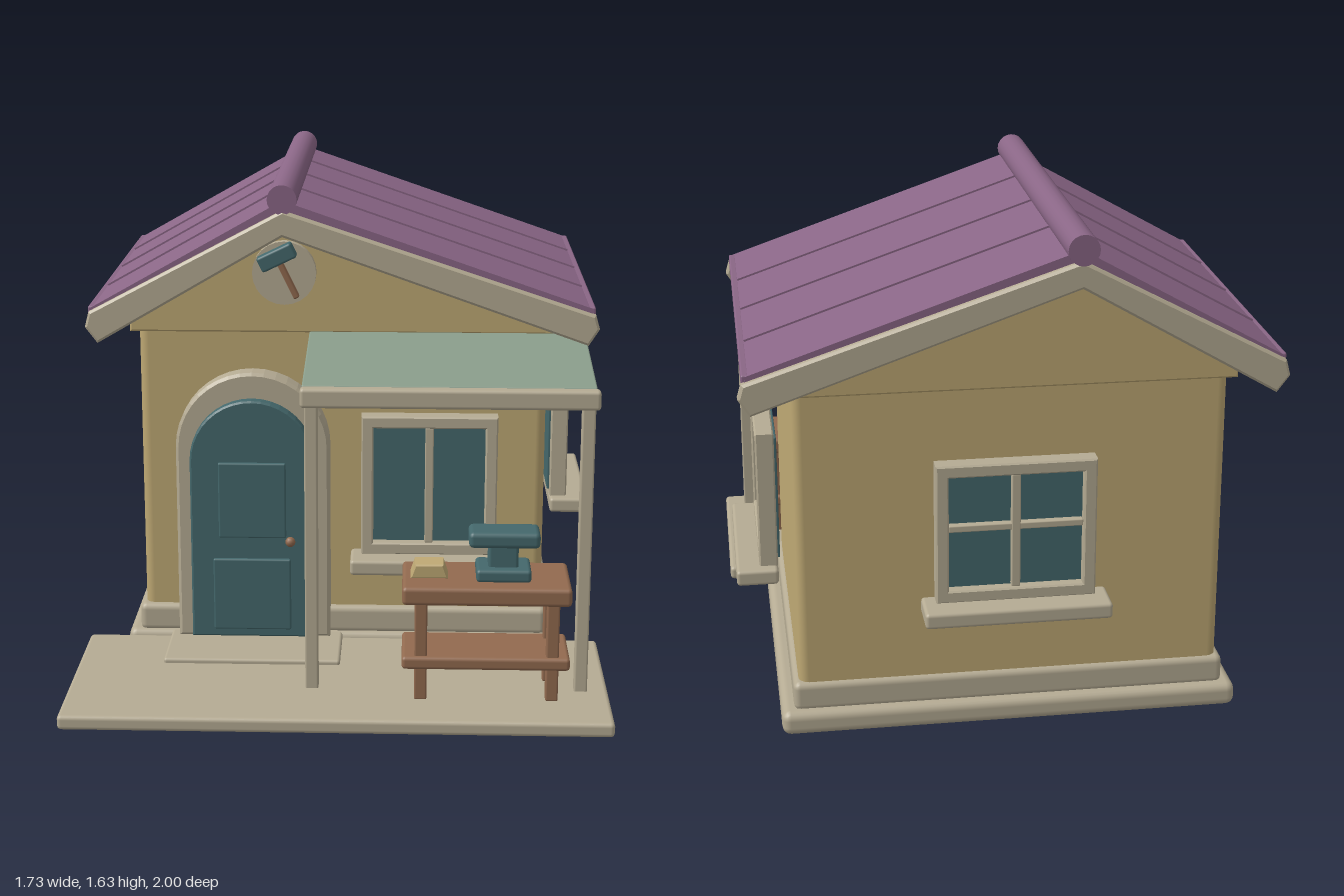
import * as THREE from 'three';
import { RoundedBoxGeometry } from 'three/addons/geometries/RoundedBoxGeometry.js';

const paint = (name, color) => Object.assign(new THREE.MeshStandardMaterial({ color }), { name });
const wall = paint('ochre plaster', 0xbfa974);
const trim = paint('pale stone', 0xb5ab93);
const purple = paint('purple roof', 0x8a6686);
const teal = paint('dark teal', 0x44686c);
const brown = paint('brown wood', 0x926a4f);
const green = paint('sage canopy', 0x8a9d8b);

function add(parent, name, geometry, material, x = 0, y = 0, z = 0) {
  const mesh = new THREE.Mesh(geometry, material);
  mesh.name = name;
  mesh.position.set(x, y, z);
  parent.add(mesh);
  return mesh;
}

// Soft-edged box given by its extents on each axis
function block(parent, name, material, [x0, x1], [y0, y1], [z0, z1], r = 0.008) {
  const w = x1 - x0, h = y1 - y0, d = z1 - z0;
  const geometry = new RoundedBoxGeometry(w, h, d, 2, Math.min(r, w / 2.1, h / 2.1, d / 2.1));
  return add(parent, name, geometry, material, (x0 + x1) / 2, (y0 + y1) / 2, (z0 + z1) / 2);
}

// Outline extruded between z0 and z1, with a small inward bevel
function slab(parent, name, material, shape, z0, z1, bevel = 0) {
  const geometry = new THREE.ExtrudeGeometry(shape, {
    depth: z1 - z0 - 2 * bevel, bevelEnabled: bevel > 0, bevelSize: bevel, bevelThickness: bevel,
    bevelOffset: -bevel, bevelSegments: 1, curveSegments: 10,
  });
  return add(parent, name, geometry, material, 0, 0, z0 + bevel);
}

const polygon = (points) => new THREE.Shape(points.map(([x, y]) => new THREE.Vector2(x, y)));

function group(parent, name) {
  const g = new THREE.Group();
  g.name = name;
  parent.add(g);
  return g;
}

// Round-topped outline centred on x
function arch(x, halfWidth, bottom, spring) {
  const s = new THREE.Shape();
  s.moveTo(x - halfWidth, bottom);
  s.lineTo(x + halfWidth, bottom);
  s.lineTo(x + halfWidth, spring);
  s.absarc(x, spring, halfWidth, 0, Math.PI, false);
  s.closePath();
  return s;
}

// Window facing +z, with its origin on the wall plane
function makeWindow(parent, name, width, y0, y1, rows, sillWidth) {
  const g = group(parent, name);
  const w = width / 2, b = 0.04, midY = (y0 + y1) / 2 + 0.015;
  const frame = polygon([[-w, y0], [w, y0], [w, y1], [-w, y1]]);
  frame.holes.push(polygon([[-w + b, y0 + b], [-w + b, y1 - b], [w - b, y1 - b], [w - b, y0 + b]]));
  slab(g, 'windowFrame', trim, frame, 0.045, 0.105, 0.005);
  block(g, 'glass', teal, [-w + 0.02, w - 0.02], [y0 + 0.02, y1 - 0.02], [0.037, 0.07], 0.003);
  block(g, 'uprightBar', trim, [-0.014, 0.014], [y0 + b, y1 - b], [0.06, 0.095], 0.004);
  if (rows > 1) block(g, 'crossBar', trim, [-w + b, w - b], [midY - 0.011, midY + 0.011], [0.06, 0.093], 0.004);
  block(g, 'sill', trim, [-sillWidth / 2, sillWidth / 2], [y0 - 0.05, y0 + 0.002], [0.045, 0.18], 0.012);
  return g;
}

function makeRoof(parent) {
  const roof = group(parent, 'roof');
  const ridge = [-0.19, 1.58];
  slab(roof, 'roofPanels', purple, polygon([ridge, [-0.815, 1.227], [-0.82, 1.185], [-0.19, 1.52],
    [0.815, 1.185], [0.81, 1.235]]), -0.925, 0.39);

  // Gable-end boards
  const board = polygon([[-0.19, 1.55], [-0.822, 1.215], [-0.835, 1.165], [-0.795, 1.112], [-0.19, 1.465],
    [0.8, 1.115], [0.835, 1.17], [0.822, 1.215]]);
  slab(roof, 'frontBargeBoard', trim, board, 0.37, 0.413, 0.008);
  slab(roof, 'backBargeBoard', trim, board, -0.947, -0.903, 0.008);

  // Eave boards, eave lips and raised panel seams on both slopes
  for (const [ex, ey] of [[-0.815, 1.227], [0.81, 1.235]]) {
    const s = Math.sign(ex);
    const inner = s * 0.775, outer = s * 0.815;
    block(roof, 'eaveBoard', trim, [Math.min(inner, outer), Math.max(inner, outer)], [1.13, 1.205], [-0.905, 0.372]);
    block(roof, 'eaveLip', purple, [ex - 0.012, ex + 0.012], [ey - 0.035, ey + 0.003], [-0.92, 0.385], 0.006);
    const length = Math.hypot(ex - ridge[0], ey - ridge[1]);
    for (const z of [0.06, -0.27, -0.6]) {
      const seam = add(roof, 'roofSeam', new THREE.BoxGeometry(length - 0.02, 0.012, 0.012), purple,
        (ex + ridge[0]) / 2, (ey + ridge[1]) / 2, z);
      seam.rotation.z = Math.atan((ey - ridge[1]) / (ex - ridge[0]));
    }
  }
  const cap = add(roof, 'ridgeCap', new THREE.CylinderGeometry(0.048, 0.048, 1.36, 20), purple, -0.19, 1.585, -0.27);
  cap.rotation.x = Math.PI / 2;
}

function makeDoor(parent) {
  const door = group(parent, 'door');
  slab(door, 'doorSurround', trim, arch(-0.298, 0.257, 0.075, 0.743), 0.26, 0.35, 0.01);
  slab(door, 'doorLeaf', teal, arch(-0.298, 0.207, 0.09, 0.708), 0.345, 0.39, 0.006);
  block(door, 'upperPanel', teal, [-0.41, -0.185], [0.445, 0.705], [0.38, 0.402], 0.006);
  block(door, 'lowerPanel', teal, [-0.43, -0.17], [0.12, 0.37], [0.38, 0.402], 0.006);
  add(door, 'knob', new THREE.SphereGeometry(0.017, 12, 8), brown, -0.17, 0.437, 0.412);
  block(door, 'doorStep', trim, [-0.585, 0], [0.045, 0.076], [0.28, 0.56], 0.01);
}

function makeSign(parent) {
  const sign = group(parent, 'hammerSign');
  sign.position.set(-0.19, 1.33, 0.3);
  const disc = add(sign, 'signDisc', new THREE.CylinderGeometry(0.105, 0.105, 0.04, 24), trim);
  disc.rotation.x = Math.PI / 2;
  const hammer = group(sign, 'hammer');
  hammer.position.set(-0.022, 0.058, 0.04);
  hammer.rotation.z = 0.45;
  block(hammer, 'hammerHead', teal, [-0.062, 0.062], [-0.026, 0.026], [-0.025, 0.025], 0.008);
  block(hammer, 'hammerHandle', brown, [-0.01, 0.01], [-0.15, -0.02], [-0.013, 0.013], 0.006);
}

function makeCanopy(parent) {
  const canopy = group(parent, 'canopy');
  const sheet = block(canopy, 'canopySheet', green, [-0.11, 0.8], [1.06, 1.1], [0.255, 0.765], 0.006);
  sheet.rotation.x = 0.125;
  block(canopy, 'canopyBeam', trim, [-0.115, 0.81], [1.002, 1.065], [0.752, 0.797], 0.012);
  for (const x of [-0.083, 0.778]) {
    block(canopy, 'canopyPost', trim, [x - 0.021, x + 0.021], [0.05, 1.045], [0.71, 0.752], 0.006);
  }
}

function makeBench(parent) {
  const bench = group(parent, 'workbench');
  block(bench, 'benchTop', brown, [0.205, 0.735], [0.385, 0.445], [0.6, 0.86], 0.014);
  block(bench, 'benchShelf', brown, [0.205, 0.735], [0.165, 0.207], [0.617, 0.843], 0.012);
  for (const x of [0.265, 0.68]) for (const z of [0.65, 0.81]) {
    block(bench, 'benchLeg', brown, [x - 0.02, x + 0.02], [0.058, 0.4], [z - 0.02, z + 0.02], 0.006);
  }
  const anvil = group(bench, 'anvil');
  block(anvil, 'anvilFoot', teal, [0.437, 0.61], [0.443, 0.485], [0.667, 0.803], 0.012);
  block(anvil, 'anvilWaist', teal, [0.475, 0.57], [0.475, 0.56], [0.695, 0.77], 0.01);
  block(anvil, 'anvilFace', teal, [0.413, 0.637], [0.55, 0.602], [0.677, 0.788], 0.016);
  // Tapered metal bar
  slab(bench, 'ingot', wall, polygon([[0.23, 0.444], [0.35, 0.444], [0.335, 0.49], [0.245, 0.49]]), 0.69, 0.77, 0.005);
}

export function createModel() {
  const model = new THREE.Group();
  model.name = 'workshopHouse';

  // Ground slabs
  block(model, 'patio', trim, [-0.867, 0.867], [0.012, 0.06], [0.305, 1], 0.014);
  block(model, 'foundation', trim, [-0.735, 0.735], [0, 0.08], [-0.865, 0.315], 0.028);
  block(model, 'plinth', trim, [-0.695, 0.695], [0.07, 0.168], [-0.835, 0.3], 0.022);

  // Walls and the solid gable under the roof
  block(model, 'walls', wall, [-0.677, 0.677], [0.1, 1.16], [-0.82, 0.28], 0.032);
  slab(model, 'gable', wall, polygon([[-0.705, 1.125], [0.7, 1.125], [0.7, 1.2], [-0.19, 1.505], [-0.705, 1.22]]),
    -0.83, 0.29, 0.006);

  makeRoof(model);
  makeDoor(model);
  makeSign(model);

  // Windows on the front, side and back walls
  makeWindow(model, 'frontWindow', 0.45, 0.39, 0.867, 1, 0.52).position.set(0.29, 0, 0.288);
  const side = makeWindow(model, 'sideWindow', 0.5, 0.457, 0.912, 2, 0.575);
  side.position.set(0.675, 0, -0.31);
  side.rotation.y = Math.PI / 2;
  const back = makeWindow(model, 'backWindow', 0.5, 0.462, 0.918, 2, 0.585);
  back.position.set(0, 0, -0.82);
  back.rotation.y = Math.PI;

  makeCanopy(model);
  makeBench(model);
  return model;
}
